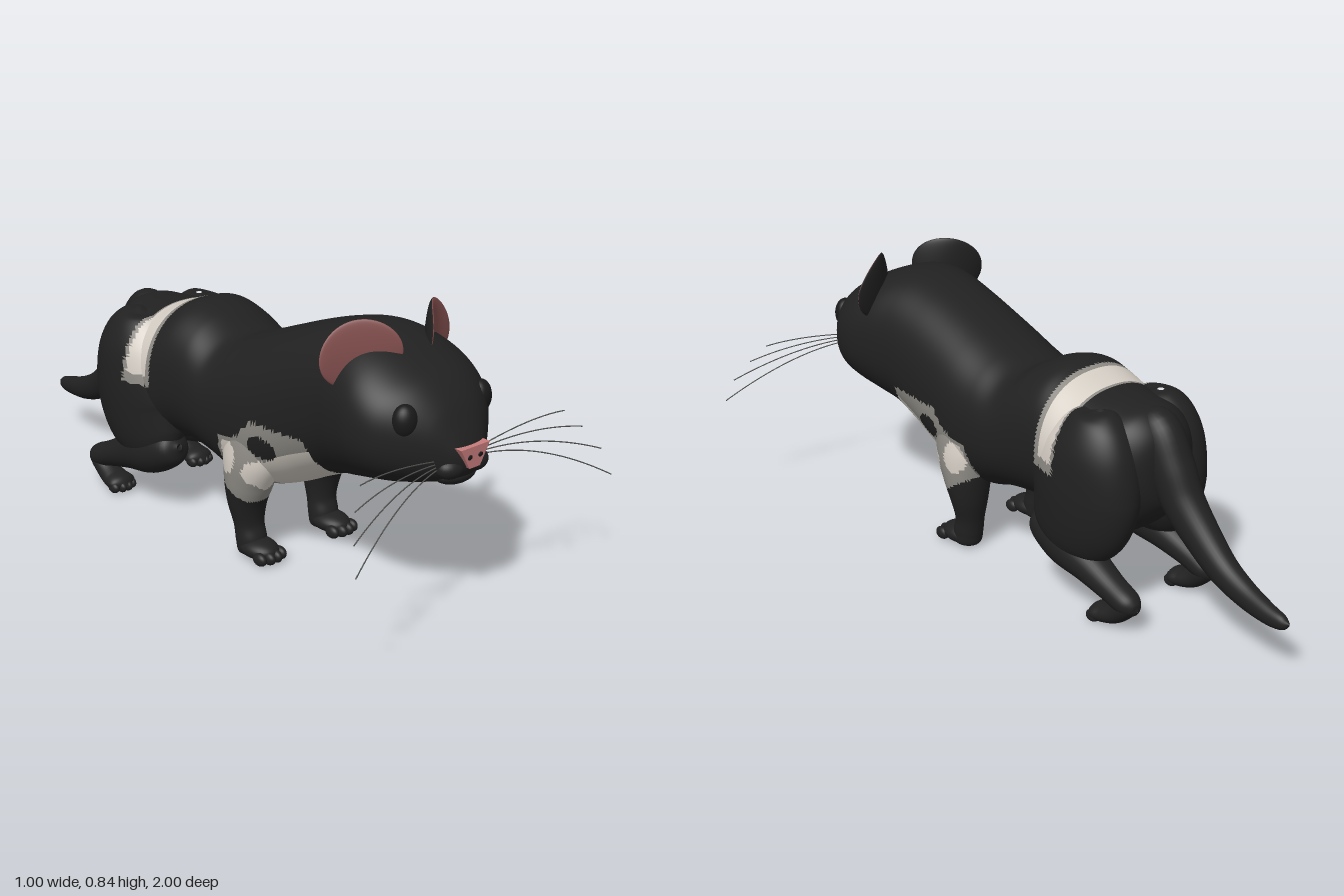
import * as THREE from 'three';

const mat = (name, color) => Object.assign(new THREE.MeshStandardMaterial({ color }), { name });

// Smooth loft through rows of [x, y, z, half width, half height].
// Rings follow the path, or stay upright when upright is true (rows then run towards +z).
function loft(rows, { steps = 48, sides = 32, power = 2, upright = false } = {}) {
  const path = new THREE.CatmullRomCurve3(rows.map(r => new THREE.Vector3(r[0], r[1], r[2])), false, 'catmullrom');
  const size = new THREE.CatmullRomCurve3(rows.map(r => new THREE.Vector3(r[3], r[4], 0)), false, 'catmullrom');
  const X = new THREE.Vector3(1, 0, 0), N = new THREE.Vector3(0, 1, 0);
  const pos = [], index = [];
  const round = v => Math.sign(v) * Math.pow(Math.abs(v), 2 / power);
  for (let i = 0; i <= steps; i++) {
    const t = i / steps, c = path.getPoint(t), s = size.getPoint(t);
    if (!upright) N.crossVectors(path.getTangent(t), X).normalize();
    for (let j = 0; j < sides; j++) {
      const a = j / sides * Math.PI * 2;
      const p = c.clone()
        .addScaledVector(X, round(Math.cos(a)) * Math.max(s.x, 0.001))
        .addScaledVector(N, round(Math.sin(a)) * Math.max(s.y, 0.001));
      pos.push(p.x, p.y, p.z);
      if (i < steps) {
        const k = (j + 1) % sides, A = i * sides + j, B = i * sides + k;
        index.push(A, B, A + sides, B, B + sides, A + sides);
      }
    }
  }
  const g = new THREE.BufferGeometry();
  g.setAttribute('position', new THREE.Float32BufferAttribute(pos, 3));
  g.setIndex(index);
  g.computeVertexNormals();
  return g;
}

// Sort triangles into material groups by a rule on their centres.
function paint(g, count, rule) {
  const src = g.index.array, p = g.attributes.position;
  const lists = Array.from({ length: count }, () => []);
  const c = new THREE.Vector3(), v = new THREE.Vector3();
  for (let i = 0; i < src.length; i += 3) {
    c.set(0, 0, 0);
    for (let k = 0; k < 3; k++) c.add(v.fromBufferAttribute(p, src[i + k]));
    c.divideScalar(3);
    lists[rule(c)].push(src[i], src[i + 1], src[i + 2]);
  }
  g.clearGroups();
  let start = 0;
  lists.forEach((l, m) => { g.addGroup(start, l.length, m); start += l.length; });
  g.setIndex(lists.flat());
  return g;
}

// Side outline of the chest patch as (z, y)
const patch = [[0.48, 0.46], [0.27, 0.46], [0.22, 0.40], [0.13, 0.375], [0.11, 0.27], [0.2, 0.215],
  [0.24, 0.19], [0.32, 0.19], [0.4, 0.25], [0.51, 0.3], [0.505, 0.35]];
function inPatch(z, y) {
  let inside = false;
  for (let i = 0, j = patch.length - 1; i < patch.length; j = i++) {
    const [zi, yi] = patch[i], [zj, yj] = patch[j];
    if ((yi > y) !== (yj > y) && z < (zj - zi) * (y - yi) / (yj - yi) + zi) inside = !inside;
  }
  return inside;
}
const blob = (z, y, cz, cy, rz, ry) => ((z - cz) / rz) ** 2 + ((y - cy) / ry) ** 2 < 1;

// 0 = dark fur, 1 = pale fur, 2 = grey fur
function furRule({ x, y, z }) {
  if (z < -0.19 && z > -0.29 && y > 0.43) return z < -0.205 && z > -0.278 && y > 0.46 ? 1 : 2;
  if (!inPatch(z, y)) return 0;
  const side = Math.abs(x) > 0.19;
  if (side && blob(z, y, 0.31, 0.385, 0.05, 0.036)) return 0;
  if (side && blob(z, y, 0.175, 0.325, 0.04, 0.05)) return 1;
  if (blob(z, y, 0.31, 0.29, 0.07, 0.05)) return 1;
  return !side && z > 0.27 ? 1 : 2;
}

export function createModel() {
  const model = new THREE.Group();
  model.name = 'animal';
  const dark = mat('darkFur', 0x212121), pale = mat('paleFur', 0xd6cfc6), grey = mat('greyFur', 0x8e8b85);
  const pink = mat('pinkNose', 0xc87c7c), earPink = mat('earPink', 0x84504f);
  const black = mat('eyeBlack', 0x191919), hair = mat('whiskerGrey', 0x555552);
  const fur = [dark, pale, grey];
  const add = (name, geo, material) => {
    const m = new THREE.Mesh(geo, material);
    m.name = name;
    model.add(m);
    return m;
  };
  const ball = (name, material, p, r) => {
    const m = add(name, new THREE.SphereGeometry(1, 28, 20), material);
    m.position.set(...p);
    m.scale.set(...r);
    return m;
  };

  // Torso and head: z, top, bottom, half width
  const profile = [
    [-0.53, 0.50, 0.40, 0.003], [-0.515, 0.57, 0.34, 0.09], [-0.46, 0.62, 0.27, 0.15], [-0.38, 0.63, 0.22, 0.19],
    [-0.28, 0.64, 0.20, 0.218], [-0.20, 0.67, 0.22, 0.218], [-0.14, 0.685, 0.24, 0.212], [-0.06, 0.665, 0.24, 0.21],
    [0.03, 0.62, 0.23, 0.213], [0.12, 0.645, 0.205, 0.218], [0.22, 0.685, 0.205, 0.222], [0.32, 0.725, 0.24, 0.217],
    [0.42, 0.76, 0.29, 0.213], [0.52, 0.785, 0.335, 0.215], [0.60, 0.785, 0.355, 0.226], [0.68, 0.76, 0.375, 0.235],
    [0.75, 0.725, 0.39, 0.22], [0.81, 0.69, 0.405, 0.178], [0.86, 0.64, 0.42, 0.125], [0.895, 0.58, 0.435, 0.078],
    [0.915, 0.535, 0.46, 0.045], [0.925, 0.51, 0.485, 0.003],
  ].map(([z, t, b, w]) => [0, (t + b) / 2, z, w, (t - b) / 2]);
  add('body', paint(loft(profile, { steps: 210, sides: 112, power: 2.3, upright: true }), 3, furRule), fur);

  // Tail
  add('tail', loft([
    [0, 0.60, -0.41, 0.03, 0.02], [0, 0.565, -0.465, 0.062, 0.07], [0, 0.47, -0.525, 0.065, 0.07],
    [0, 0.38, -0.575, 0.06, 0.065], [0, 0.30, -0.65, 0.052, 0.057], [0.005, 0.23, -0.74, 0.043, 0.048],
    [0.01, 0.19, -0.83, 0.035, 0.04], [0.018, 0.17, -0.92, 0.027, 0.031], [0.02, 0.165, -0.975, 0.018, 0.022],
    [0.02, 0.168, -1, 0.002, 0.002]]), dark);

  // Nose plate with nostrils
  const shape = new THREE.Shape([[-0.02, 0.475], [0.02, 0.475], [0.055, 0.535], [-0.055, 0.535]]
    .map(p => new THREE.Vector2(...p)));
  add('nose', new THREE.ExtrudeGeometry(shape, { depth: 0.045, bevelEnabled: false }), pink).position.z = 0.885;
  ball('chin', dark, [0, 0.44, 0.86], [0.07, 0.03, 0.045]);

  for (const s of [1, -1]) {
    const side = s > 0 ? 'left' : 'right';
    const limb = (name, rows, opts) =>
      add(side + name, paint(loft(rows.map(([x, ...r]) => [x * s, ...r]), opts), 3, furRule), fur);

    // Face
    ball(side + 'Nostril', black, [0.02 * s, 0.507, 0.93], [0.009, 0.007, 0.003]);
    ball(side + 'Muzzle', dark, [0.045 * s, 0.472, 0.882], [0.046, 0.032, 0.038]);
    ball(side + 'Eye', black, [0.145 * s, 0.605, 0.808], [0.037, 0.048, 0.032]).rotation.y = 0.5 * s;

    // Cupped ear, pink towards the front
    const ear = paint(new THREE.SphereGeometry(1, 48, 32), 2, c => (c.z > 0 ? 1 : 0));
    ear.scale(0.115, 0.095, 0.014);
    const p = ear.attributes.position;
    for (let i = 0; i < p.count; i++) p.setZ(i, p.getZ(i) + 2.2 * p.getX(i) ** 2);
    ear.computeVertexNormals();
    const earMesh = add(side + 'Ear', ear, [dark, earPink]);
    earMesh.position.set(0.137 * s, 0.742, 0.625);
    earMesh.rotation.set(0, 0.55 * s, -0.25 * s, 'YXZ');

    // Whiskers
    [[0.395, 0.525, 0.9], [0.44, 0.475, 0.93], [0.48, 0.41, 0.97], [0.498, 0.335, 0.998]].forEach(([x, y, z], i) => {
      const curve = new THREE.QuadraticBezierCurve3(
        new THREE.Vector3(0.075 * s, 0.495 - i * 0.007, 0.875),
        new THREE.Vector3(0.27 * s, 0.535 - i * 0.02, 0.885 + i * 0.012),
        new THREE.Vector3(x * s, y, z));
      add(side + 'Whisker' + (i + 1), new THREE.TubeGeometry(curve, 20, 0.0018, 5), hair);
    });

    // Front leg
    limb('FrontLeg', [
      [0.14, 0.45, 0.22, 0.01, 0.01], [0.145, 0.42, 0.22, 0.06, 0.07], [0.15, 0.33, 0.21, 0.076, 0.095],
      [0.15, 0.24, 0.195, 0.074, 0.075], [0.15, 0.17, 0.187, 0.062, 0.056], [0.146, 0.10, 0.19, 0.048, 0.042],
      [0.145, 0.05, 0.2, 0.047, 0.045], [0.145, 0.012, 0.205, 0.04, 0.04], [0.145, 0.002, 0.205, 0.002, 0.002]],
      { steps: 72, sides: 56 });
    // Haunch, shank and hind foot
    limb('Haunch', [
      [0.12, 0.62, -0.36, 0.01, 0.01], [0.125, 0.60, -0.36, 0.065, 0.085], [0.13, 0.52, -0.35, 0.103, 0.15],
      [0.133, 0.42, -0.33, 0.112, 0.187], [0.137, 0.32, -0.31, 0.105, 0.185], [0.145, 0.23, -0.27, 0.082, 0.145],
      [0.15, 0.18, -0.25, 0.05, 0.09], [0.15, 0.16, -0.245, 0.003, 0.003]], { steps: 80, sides: 64 });
    limb('Shank', [
      [0.15, 0.235, -0.13, 0.01, 0.01], [0.15, 0.225, -0.16, 0.055, 0.055], [0.153, 0.19, -0.26, 0.07, 0.075],
      [0.157, 0.15, -0.37, 0.056, 0.055], [0.16, 0.115, -0.46, 0.045, 0.042], [0.16, 0.09, -0.525, 0.04, 0.037],
      [0.16, 0.08, -0.555, 0.022, 0.022], [0.16, 0.078, -0.565, 0.002, 0.002]]);
    limb('HindFoot', [
      [0.16, 0.10, -0.545, 0.01, 0.01], [0.16, 0.088, -0.535, 0.033, 0.028], [0.16, 0.05, -0.49, 0.037, 0.032],
      [0.16, 0.032, -0.45, 0.044, 0.03], [0.16, 0.026, -0.41, 0.045, 0.025], [0.16, 0.02, -0.385, 0.002, 0.002]]);

    // Paws and toes
    ball(side + 'FrontPaw', dark, [0.145 * s, 0.031, 0.232], [0.052, 0.031, 0.07]);
    for (let i = 0; i < 4; i++) {
      const off = (i - 1.5) * 0.026, back = Math.abs(i - 1.5) * 0.01;
      ball(side + 'FrontToe' + (i + 1), dark, [(0.145 + off) * s, 0.02, 0.297 - back], [0.015, 0.02, 0.026]);
      ball(side + 'HindToe' + (i + 1), dark, [(0.16 + off * 0.85) * s, 0.018, -0.4 - back], [0.014, 0.018, 0.024]);
    }
  }
  return model;
}
